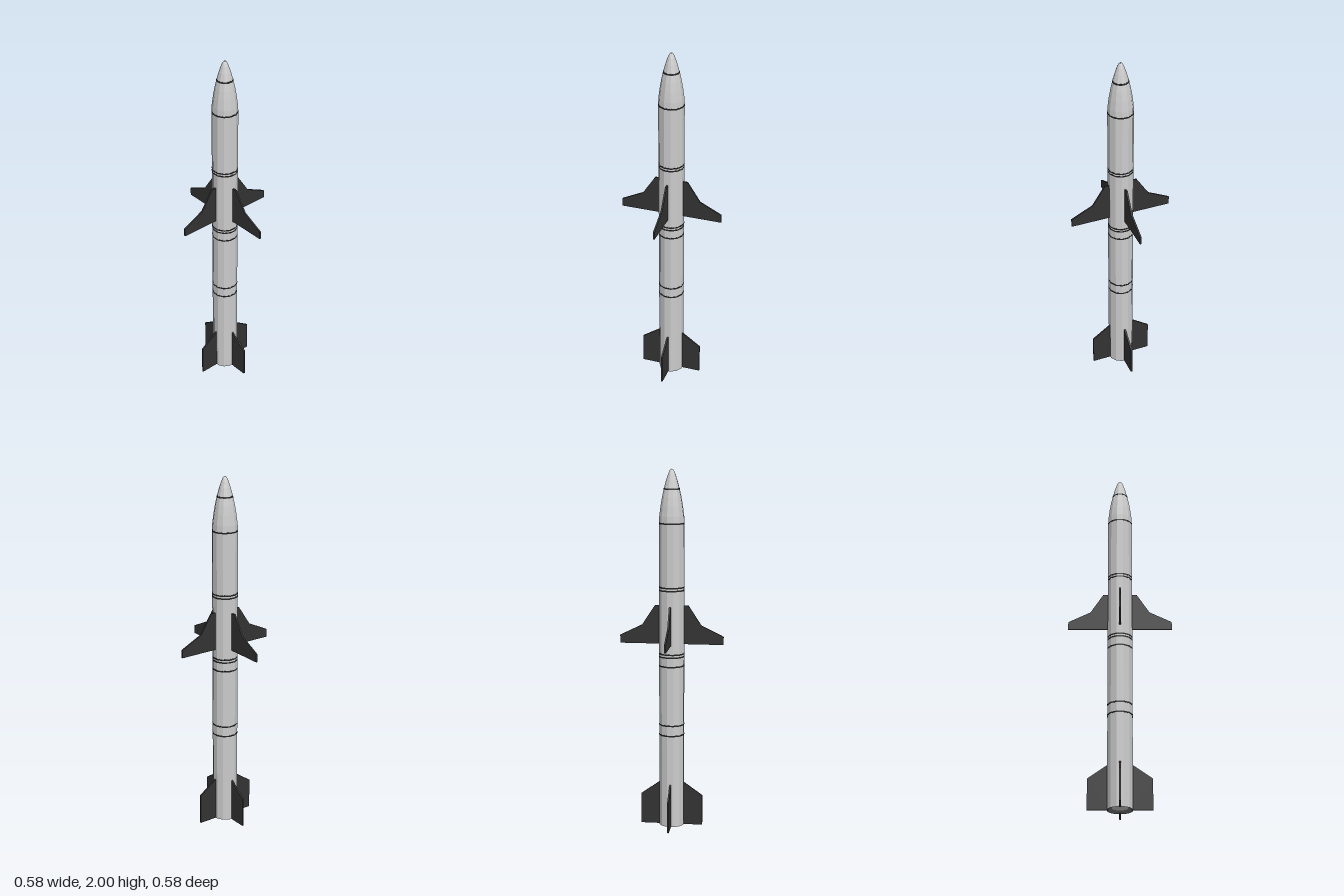
import * as THREE from 'three';

const SIDES = 12;
const R = 0.0704; // corner radius of the twelve-sided body

const grey = new THREE.MeshStandardMaterial({ color: 0xcccccc, flatShading: true });
const dark = new THREE.MeshStandardMaterial({ color: 0x333333, flatShading: true });
const black = new THREE.MeshStandardMaterial({ color: 0x222222, flatShading: true });
const rim = new THREE.MeshStandardMaterial({ color: 0x777777, flatShading: true });

// Nose outline as [radius, height]
const nose = [[R, 1.707], [0.0685, 1.745], [0.0615, 1.8], [0.053, 1.85], [0.0435, 1.893],
  [0.031, 1.94], [0.02, 1.973], [0.012, 1.991], [0.006, 1.998], [0, 2]];

function lathe(name, profile, material) {
  const points = profile.map(([r, y]) => new THREE.Vector2(r, y));
  const mesh = new THREE.Mesh(new THREE.LatheGeometry(points, SIDES, Math.PI / SIDES), material);
  mesh.name = name;
  return mesh;
}

// Four flat fins around the axis, cut from one outline
function finSet(name, outline, thickness) {
  const group = new THREE.Group();
  group.name = name + 's';
  const shape = new THREE.Shape(outline.map(([x, y]) => new THREE.Vector2(x, y)));
  const geometry = new THREE.ExtrudeGeometry(shape, { depth: thickness, bevelEnabled: false });
  geometry.translate(0, 0, -thickness / 2);
  for (let i = 0; i < 4; i++) {
    const fin = new THREE.Mesh(geometry, dark);
    fin.name = name;
    fin.rotation.y = i * Math.PI / 2;
    group.add(fin);
  }
  return group;
}

export function createModel() {
  const model = new THREE.Group();
  model.name = 'missile';

  // Body, nose and tail opening
  model.add(lathe('body', [[R, 0], [R, 1.707]], grey));
  model.add(lathe('nose', nose, grey));
  model.add(lathe('exhaustRim', [[0.044, 0.012], [R, 0]], rim));
  model.add(lathe('exhaust', [[0, 0.012], [0.044, 0.012]], grey));

  // Thin dark joint bands
  const bands = [0.527, 0.585, 0.919, 0.971, 0.987, 1.341, 1.357, 1.707];
  for (const y of bands) {
    const r = R + 0.0008;
    model.add(lathe('jointBand', [[R - 0.002, y - 0.004], [r, y - 0.004], [r, y + 0.004], [R - 0.002, y + 0.004]], black));
  }
  model.add(lathe('noseBand', [[0.043, 1.889], [0.0454, 1.889], [0.0434, 1.897], [0.04, 1.897]], black));

  // Swept mid wings and tail fins
  model.add(finSet('wing', [[0.06, 1.04], [0.288, 1.04], [0.288, 1.085], [0.165, 1.145],
    [0.093, 1.255], [0.06, 1.255]], 0.009));
  model.add(finSet('tailFin', [[0.06, 0], [0.174, 0], [0.174, 0.172], [0.068, 0.247], [0.06, 0.247]], 0.009));

  return model;
}
